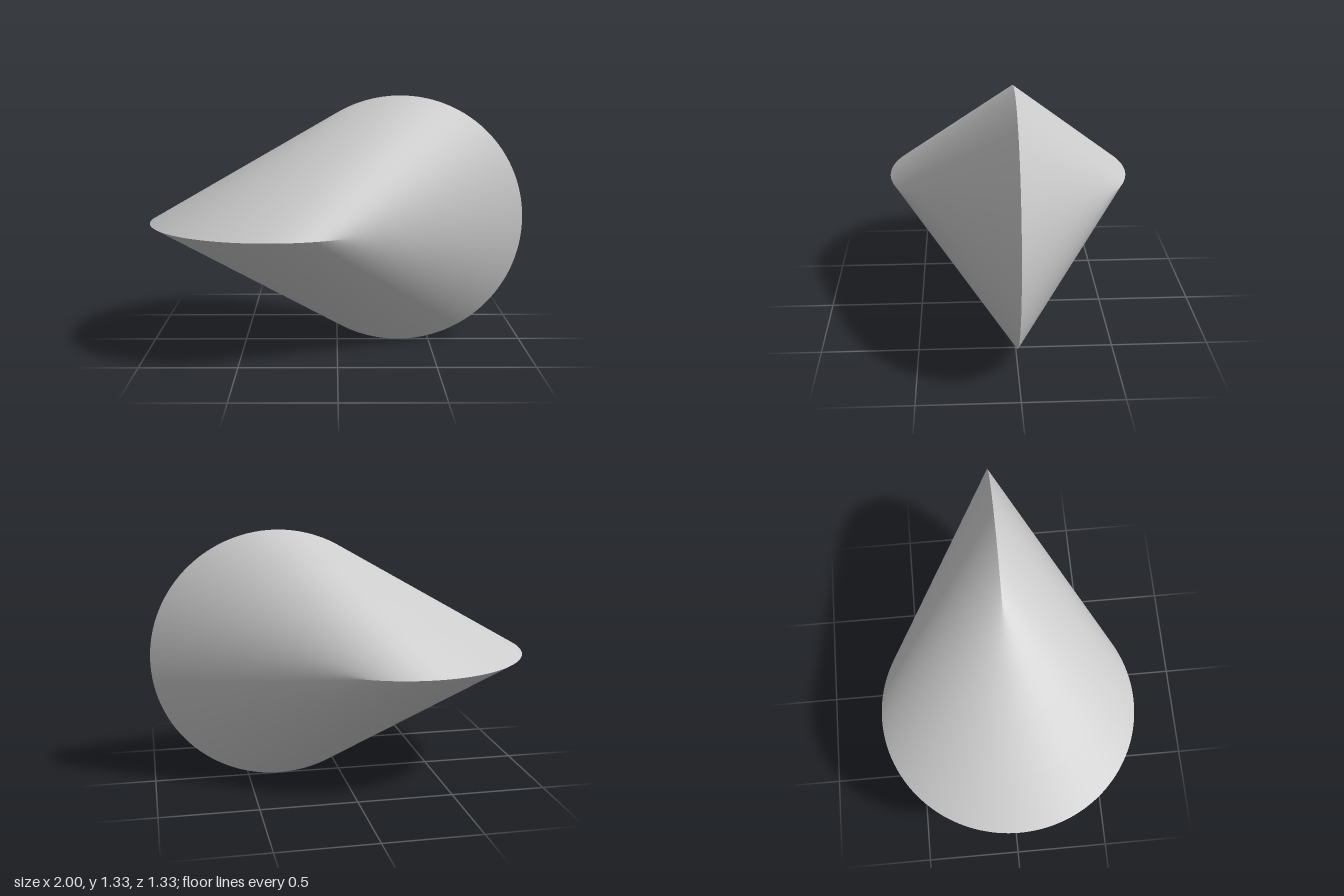
import * as THREE from 'three';

const R = 2 / 3;      // radius of both circles; their centres are one radius apart
const STEPS = 192;    // straight rulings along each half
const ROWS = 4;       // divisions along each ruling

// Developable strip joining the upright circle to one side of the flat circle
function oloidHalf(side) {
  const positions = [], normals = [], index = [];
  for (let i = 0; i <= STEPS; i++) {
    // Sine spacing gathers rulings near the ends, where the flat circle turns fast
    const t = (2 * Math.PI / 3) * Math.sin(Math.PI * (i / STEPS - 0.5));
    const c = Math.cos(t), s = Math.sin(t);
    const root = Math.sqrt(Math.max(0, 1 + 2 * c));
    const upright = new THREE.Vector3(0.5 + c, s, 0);
    const flat = new THREE.Vector3(c / (1 + c) - 0.5, 0, side * root / (1 + c));
    // The normal is constant along a ruling
    const n = new THREE.Vector3(c, s, side * root).normalize();
    for (let j = 0; j <= ROWS; j++) {
      const p = upright.clone().lerp(flat, j / ROWS).multiplyScalar(R);
      positions.push(p.x, p.y + R, p.z);
      normals.push(n.x, n.y, n.z);
      if (i === STEPS || j === ROWS) continue;
      const a = i * (ROWS + 1) + j, b = a + ROWS + 1;
      if (side > 0) index.push(a, b, b + 1, a, b + 1, a + 1);
      else index.push(a, b + 1, b, a, a + 1, b + 1);
    }
  }
  const geometry = new THREE.BufferGeometry();
  geometry.setAttribute('position', new THREE.Float32BufferAttribute(positions, 3));
  geometry.setAttribute('normal', new THREE.Float32BufferAttribute(normals, 3));
  geometry.setIndex(index);
  return geometry;
}

export function createModel() {
  const group = new THREE.Group();
  group.name = 'oloid';
  const material = new THREE.MeshStandardMaterial({ color: 0xcccccc });
  for (const [name, side] of [['frontHalf', 1], ['backHalf', -1]]) {
    const mesh = new THREE.Mesh(oloidHalf(side), material);
    mesh.name = name;
    group.add(mesh);
  }
  return group;
}
